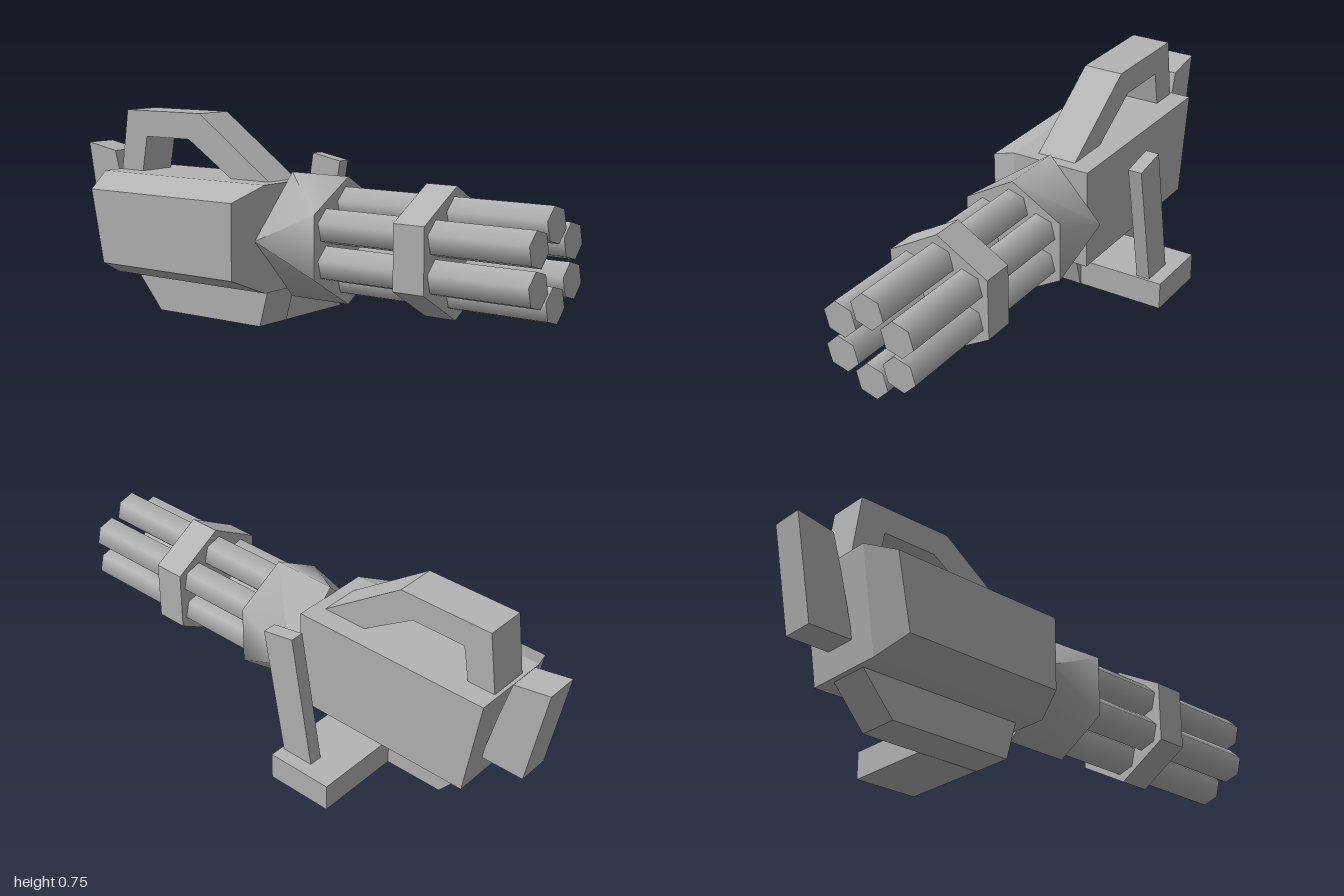
import * as THREE from 'three';
import { toCreasedNormals } from 'three/addons/utils/BufferGeometryUtils.js';

const AXIS_Y = 0.333, AXIS_Z = 0.065; // centre line of the rotating barrels

// Skin a series of convex rings, listed along their axis and wound counter-clockwise
function loft(rings) {
  const pos = [];
  const tri = (a, b, c) => {
    const n = new THREE.Triangle(...[a, b, c].map((p) => new THREE.Vector3(...p)));
    if (n.getArea() > 1e-7) pos.push(...a, ...b, ...c);
  };
  const n = rings[0].length;
  for (let r = 0; r < rings.length - 1; r++) {
    const a = rings[r], b = rings[r + 1];
    for (let i = 0; i < n; i++) {
      const j = (i + 1) % n;
      tri(a[i], a[j], b[j]);
      tri(a[i], b[j], b[i]);
    }
  }
  const first = rings[0], last = rings[rings.length - 1];
  for (let i = 1; i < n - 1; i++) {
    tri(first[0], first[i + 1], first[i]);
    tri(last[0], last[i], last[i + 1]);
  }
  const geo = new THREE.BufferGeometry();
  geo.setAttribute('position', new THREE.Float32BufferAttribute(pos, 3));
  geo.computeVertexNormals();
  return geo;
}

// Side profile in x, y extruded between two z values
function plate(points, z0, z1) {
  const shape = new THREE.Shape(points.map(([x, y]) => new THREE.Vector2(x, y)));
  return new THREE.ExtrudeGeometry(shape, { depth: z1 - z0, bevelEnabled: false }).translate(0, 0, z0);
}

// Six-sided prism lying along x
function hexPrism(radius, x0, x1, turn) {
  return new THREE.CylinderGeometry(radius, radius, x1 - x0, 6, 1, false, THREE.MathUtils.degToRad(turn))
    .rotateZ(-Math.PI / 2)
    .translate((x0 + x1) / 2, 0, 0);
}

export function createModel() {
  const model = new THREE.Group();
  model.name = 'rotaryGun';
  const metal = new THREE.MeshStandardMaterial({ color: 0xb4b4b4 });
  metal.name = 'grey metal';
  const add = (name, geo, parent = model) => {
    const mesh = new THREE.Mesh(geo, metal);
    mesh.name = name;
    parent.add(mesh);
    return mesh;
  };

  // Main housing, bevelled towards +z
  const outline = [[-0.755, 0.144], [-0.04, 0.144], [-0.04, 0.522], [-0.815, 0.522]];
  const inset = [[-0.71, 0.198], [-0.09, 0.198], [-0.09, 0.467], [-0.765, 0.467]];
  const at = (ring, z) => ring.map(([x, y]) => [x, y, z]);
  add('housing', loft([at(outline, -0.088), at(outline, 0.22), at(inset, 0.34)]));

  // Carrying handle, belly and stock
  add('carryHandle', plate([
    [-0.803, 0.515], [-0.696, 0.515], [-0.672, 0.652], [-0.462, 0.652],
    [-0.25, 0.515], [-0.075, 0.515], [-0.408, 0.748], [-0.77, 0.748],
  ], -0.01, 0.142));
  add('belly', plate([[-0.74, 0.15], [-0.612, 0.001], [-0.13, 0.001], [-0.088, 0.15]], -0.01, 0.142));
  add('stock', plate([
    [-1, 0.612], [-0.932, 0.235], [-0.765, 0.235], [-0.82, 0.45], [-0.86, 0.587],
  ], 0, 0.122));

  // Side arm with upright grip
  add('sideArm', new THREE.BoxGeometry(0.252, 0.102, 0.333).translate(-0.259, 0.051, -0.175));
  add('sideGrip', plate([[-0.27, 0.095], [-0.145, 0.095], [-0.06, 0.567], [-0.185, 0.59]], -0.291, -0.24));

  // Barrel cluster around its own centre line
  const cluster = new THREE.Group();
  cluster.name = 'barrelCluster';
  cluster.position.set(0, AXIS_Y, AXIS_Z);
  model.add(cluster);

  // Shroud changes from a diamond at the housing to a hexagon at the barrels
  const front = [], rear = [];
  for (let i = 0; i < 6; i++) {
    const a = (i * Math.PI) / 3;
    front.push([0.203, 0.222 * Math.cos(a), 0.222 * Math.sin(a)]);
    rear.push(i % 3 === 0 ? [-0.042, 0.222 * Math.cos(a), 0] : [-0.042, 0, 0.208 * Math.sign(Math.sin(a))]);
  }
  add('shroud', toCreasedNormals(loft([rear, front]), 1.35), cluster);

  // Clamp ring
  add('clampRing', toCreasedNormals(hexPrism(0.222, 0.52, 0.638, -30), 0.5), cluster);

  // Six barrels
  const barrel = hexPrism(0.064, 0.15, 1, -15.5);
  for (let i = 0; i < 6; i++) {
    const a = (i * Math.PI) / 3;
    add('barrel', barrel, cluster).position.set(0, 0.127 * Math.cos(a), 0.127 * Math.sin(a));
  }
  return model;
}
